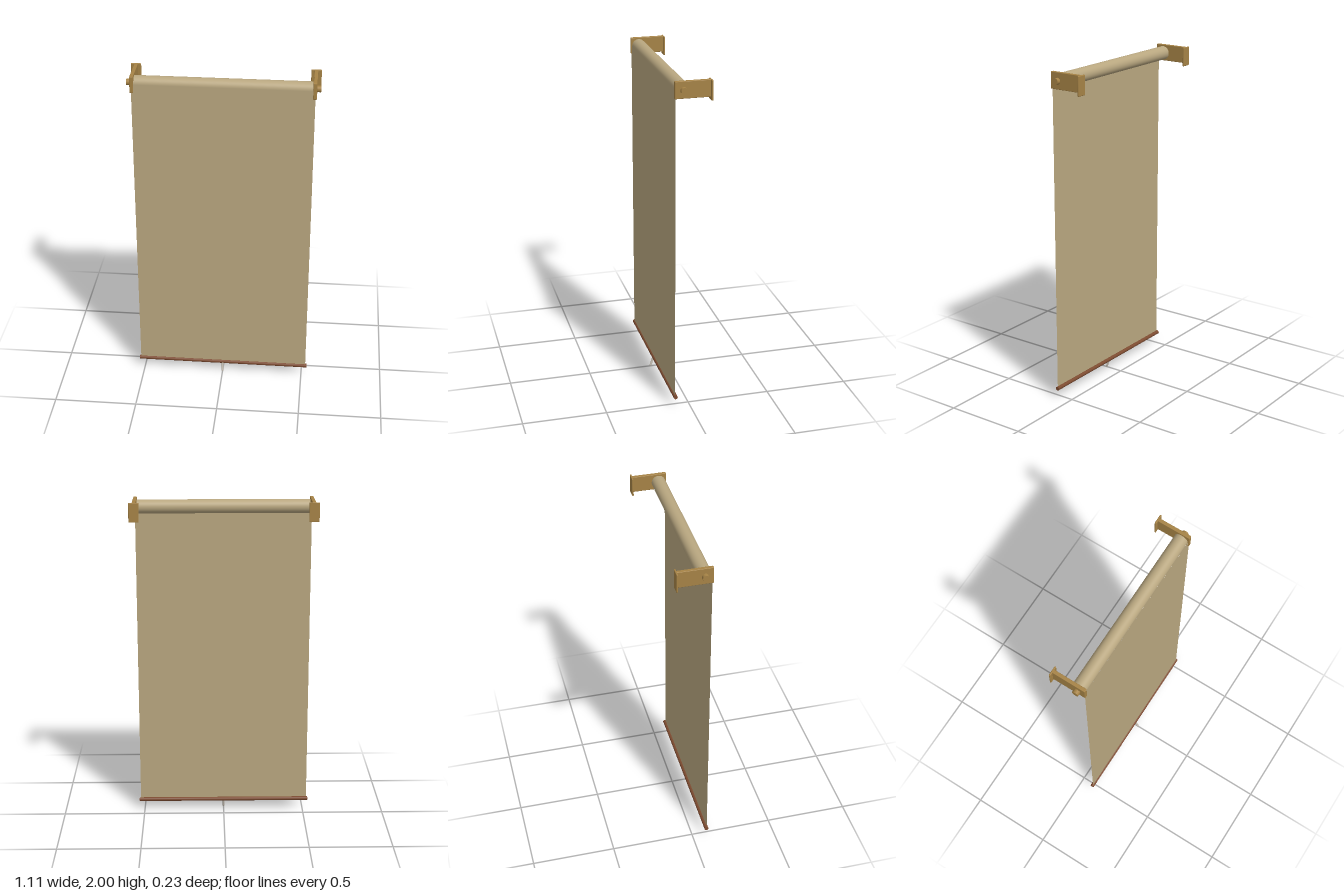
import * as THREE from 'three';
import { RoundedBoxGeometry } from 'three/addons/geometries/RoundedBoxGeometry.js';

export function createModel() {
  const group = new THREE.Group();
  const mat = (color, side = THREE.FrontSide) => new THREE.MeshStandardMaterial({ color, side });
  const brass = mat(0xa68346), fabric = mat(0xb9a780, THREE.DoubleSide);
  const wood = mat(0x7d4b30), cord = mat(0xc8c0b4);

  const add = (parent, name, geometry, material, x, y, z) => {
    const mesh = new THREE.Mesh(geometry, material);
    mesh.name = name;
    mesh.position.set(x, y, z);
    parent.add(mesh);
    return mesh;
  };
  // Cylinder lying along x
  const rod = (radius, length, sides = 32) =>
    new THREE.CylinderGeometry(radius, radius, length, sides).rotateZ(Math.PI / 2);

  const axisY = 1.95, axisZ = 0.046, sheetZ = 0.088;

  // Rolled fabric and the hanging sheet, tangent to its front
  add(group, 'roller', rod(0.041, 1.02, 48), fabric, 0, axisY, axisZ);
  add(group, 'sheet', new THREE.PlaneGeometry(1.05, axisY - 0.06), fabric, 0, (axisY + 0.06) / 2, sheetZ);

  // Weighted bottom bar
  add(group, 'bottomBar', rod(0.012, 1.066, 24), wood, 0, 0.062, sheetZ - 0.003);

  // Pull hanging forward from the bar
  const start = new THREE.Vector3(0, 0.06, 0.09), end = new THREE.Vector3(0, 0.008, 0.108);
  const pull = add(group, 'pull', new THREE.CapsuleGeometry(0.0065, start.distanceTo(end), 6, 16), cord, 0, 0, 0);
  pull.position.copy(start).lerp(end, 0.5);
  pull.quaternion.setFromUnitVectors(new THREE.Vector3(0, 1, 0), start.clone().sub(end).normalize());

  // Wall brackets, one at each end
  for (const s of [-1, 1]) {
    const bracket = new THREE.Group();
    bracket.name = s > 0 ? 'leftBracket' : 'rightBracket';
    add(bracket, 'bracketArm', new RoundedBoxGeometry(0.021, 0.098, 0.207, 3, 0.003), brass, s * 0.522, 1.951, -0.0095);
    add(bracket, 'wallPlate', new RoundedBoxGeometry(0.06, 0.115, 0.01, 3, 0.004), brass, s * 0.523, 1.9425, -0.113);
    add(bracket, 'axlePin', rod(0.012, 0.03), brass, s * 0.508, axisY, axisZ);
    add(bracket, 'axleKnob', rod(0.019, 0.026), brass, s * 0.542, axisY, axisZ);
    group.add(bracket);
  }
  return group;
}
